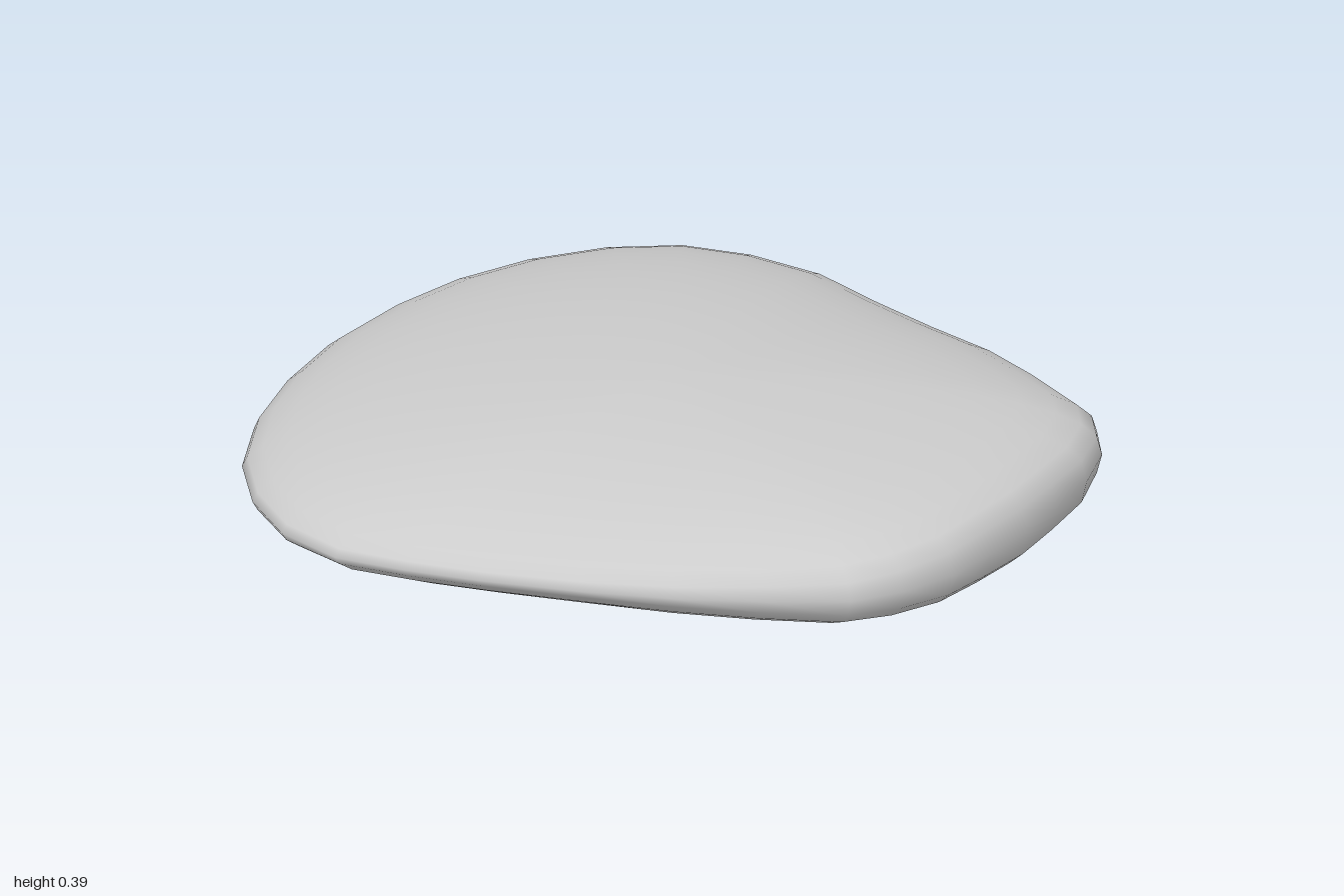
import * as THREE from 'three';

// Plan outline of the stone as [x, z], clockwise seen from above
const OUTLINE = [
  [-1, 0], [-0.98, -0.24], [-0.93, -0.45], [-0.84, -0.645], [-0.71, -0.81], [-0.555, -0.92],
  [-0.375, -0.962], [-0.165, -0.955], [0.05, -0.885], [0.25, -0.825], [0.46, -0.765], [0.64, -0.68],
  [0.845, -0.565], [0.925, -0.46], [0.975, -0.31], [0.99, -0.15], [1, 0], [0.99, 0.15], [0.975, 0.3],
  [0.92, 0.44], [0.84, 0.55], [0.66, 0.655], [0.46, 0.75], [0.23, 0.83], [0, 0.895], [-0.19, 0.935],
  [-0.37, 0.958], [-0.555, 0.905], [-0.71, 0.79], [-0.84, 0.63], [-0.93, 0.43], [-0.98, 0.22],
];
const RINGS = 20;
const HALF_HEIGHT = 0.195;

// Rings run from the top pole to the bottom pole; the rim is blunter towards +x
function stoneGeometry() {
  const n = OUTLINE.length;
  const pos = [0, 0.198 + HALF_HEIGHT, 0];
  const index = [];
  for (let k = 1; k < RINGS; k++) {
    const phi = (k / RINGS) * Math.PI;
    const r = Math.sin(phi), up = Math.cos(phi);
    for (const [ox, oz] of OUTLINE) {
      const c = ox / Math.hypot(ox, oz);
      const power = 2 * (0.63 - (c > 0 ? 0.32 : 0.13) * c * c);
      const h = k * 2 === RINGS ? 0 : Math.sign(up) * Math.abs(up) ** power;
      pos.push(ox * r, 0.198 + 0.02 * ox * r + HALF_HEIGHT * h, oz * r);
    }
  }
  const last = pos.length / 3;
  pos.push(0, 0.198 - HALF_HEIGHT, 0);

  const at = (k, j) => 1 + (k - 1) * n + (j % n);
  for (let j = 0; j < n; j++) {
    index.push(0, at(1, j + 1), at(1, j));
    for (let k = 1; k < RINGS - 1; k++) {
      const a = at(k, j), b = at(k, j + 1), c = at(k + 1, j), d = at(k + 1, j + 1);
      index.push(c, a, b, c, b, d);
    }
    index.push(last, at(RINGS - 1, j), at(RINGS - 1, j + 1));
  }
  const geo = new THREE.BufferGeometry();
  geo.setAttribute('position', new THREE.Float32BufferAttribute(pos, 3));
  geo.setIndex(index);
  geo.computeVertexNormals();
  return geo;
}

export function createModel() {
  const group = new THREE.Group();
  group.name = 'flatStone';
  const stone = new THREE.Mesh(stoneGeometry(), new THREE.MeshStandardMaterial({ color: 0xcccccc }));
  stone.name = 'stone';
  group.add(stone);
  return group;
}
